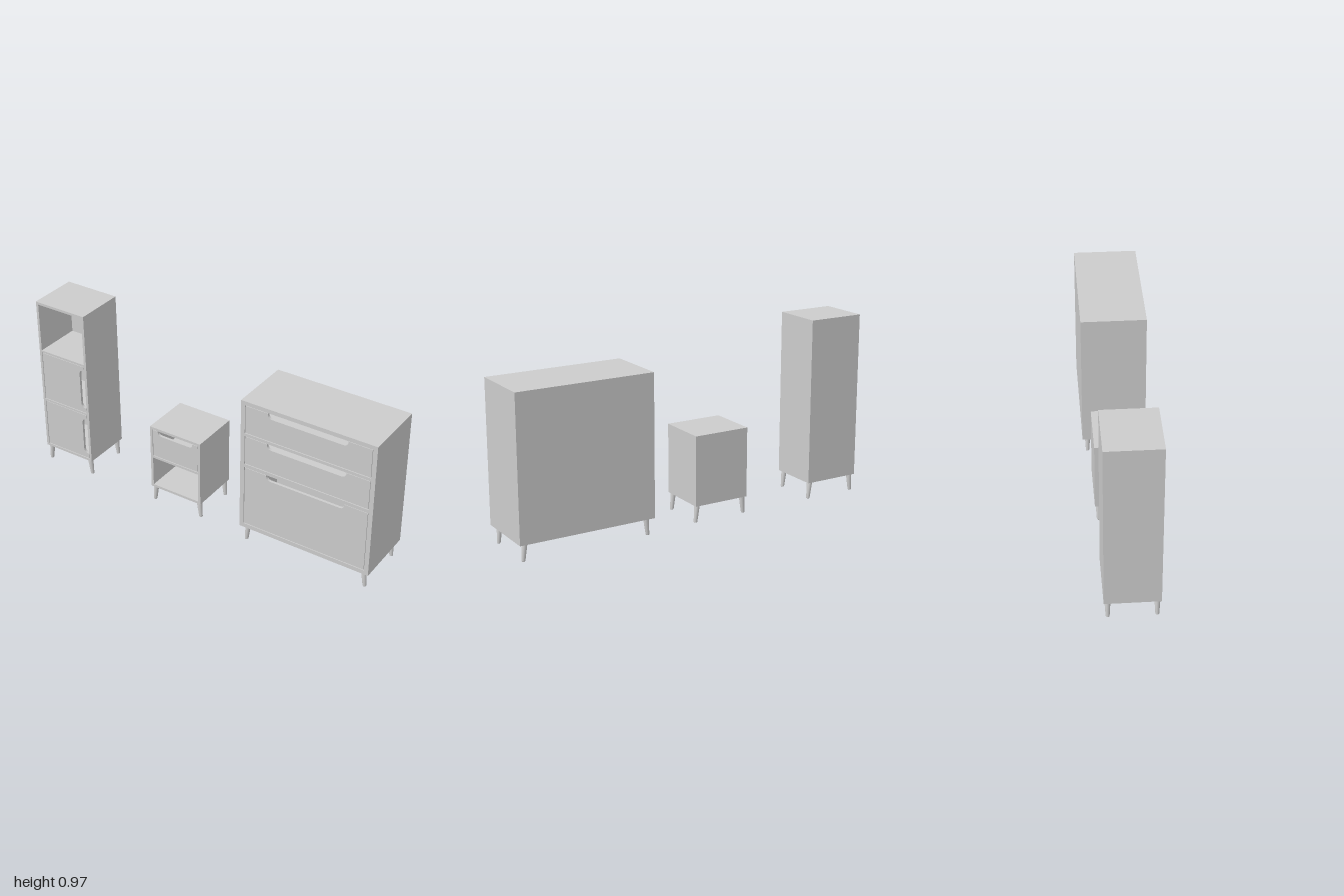
import * as THREE from 'three';

const material = new THREE.MeshStandardMaterial({ color: 0xcccccc });
const BOTTOM = 0.09, GAP = 0.003, BACK = 0.014, FRONT = 0.014;

function addMesh(group, name, geometry) {
  const mesh = new THREE.Mesh(geometry, material);
  mesh.name = name;
  group.add(mesh);
  return mesh;
}

function rectangle(Type, x0, x1, y0, y1) {
  const path = new Type();
  path.moveTo(x0, y0);
  path.lineTo(x1, y0);
  path.lineTo(x1, y1);
  path.lineTo(x0, y1);
  path.closePath();
  return path;
}

const extrude = (shape, depth) =>
  new THREE.ExtrudeGeometry(shape, { depth, bevelEnabled: false, curveSegments: 8 });

// Front panel with a rounded finger notch in its top edge or its +x edge
function frontPanel([x0, x1, y0, y1], { edge, from, to, depth }) {
  const shape = new THREE.Shape();
  const r = depth * 0.95;
  // a runs along the notched edge, b runs inward from it
  const at = edge === 'top' ? (a, b) => [a, y1 - b] : (a, b) => [x1 - b, a];
  const [start, end, across] = edge === 'top' ? [x0, x1, y1 - y0] : [y0, y1, x1 - x0];
  shape.moveTo(...at(start, across));
  shape.lineTo(...at(start, 0));
  shape.lineTo(...at(from, 0));
  shape.quadraticCurveTo(...at(from, depth), ...at(from + r, depth));
  shape.lineTo(...at(to - r, depth));
  shape.quadraticCurveTo(...at(to, depth), ...at(to, 0));
  shape.lineTo(...at(end, 0));
  shape.lineTo(...at(end, across));
  shape.closePath();
  return extrude(shape, FRONT);
}

// Tapered round leg, sheared outwards towards the foot
function legGeometry(height, splay) {
  const profile = [[0, 0], [0.0075, 0], [0.0095, 0.003], [0.0145, height], [0, height]]
    .map(([x, y]) => new THREE.Vector2(x, y));
  const geometry = new THREE.LatheGeometry(profile, 20);
  const p = geometry.attributes.position;
  for (let i = 0; i < p.count; i++) {
    p.setX(i, p.getX(i) + splay * (1 - p.getY(i) / height));
  }
  geometry.computeVertexNormals();
  return geometry;
}

function cabinet({ name, x0, x1, top, halfDepth, wall, legInset, legZ, bays }) {
  const group = new THREE.Group();
  group.name = name;

  // Carcass: outer frame and dividers in one piece, with a back board
  const frame = rectangle(THREE.Shape, x0, x1, BOTTOM, top);
  for (const { y } of bays) {
    frame.holes.push(rectangle(THREE.Path, x0 + wall, x1 - wall, y[0], y[1]));
  }
  addMesh(group, 'carcass', extrude(frame, 2 * halfDepth - BACK)).position.z = BACK - halfDepth;
  addMesh(group, 'backBoard', extrude(rectangle(THREE.Shape, x0, x1, BOTTOM, top), BACK))
    .position.z = -halfDepth;

  // Doors and drawer fronts, flush with the frame; bays without a notch stay open
  for (const { part, y, notch } of bays) {
    if (!notch) continue;
    const bounds = [x0 + wall + GAP, x1 - wall - GAP, y[0] + GAP, y[1] - GAP];
    addMesh(group, part, frontPanel(bounds, notch)).position.z = halfDepth - FRONT - 0.001;
  }

  // Four legs
  for (const side of [-1, 1]) {
    for (const z of [-legZ, legZ]) {
      const leg = addMesh(group, 'leg', legGeometry(BOTTOM + 0.002, side * 0.009));
      leg.position.set(side < 0 ? x0 + legInset : x1 - legInset, 0, z);
    }
  }
  return group;
}

export function createModel() {
  const model = new THREE.Group();
  model.name = 'bedroomCabinets';
  const doorNotch = (from, to) => ({ edge: 'side', from, to, depth: 0.03 });
  const drawerNotch = (from, to, depth) => ({ edge: 'top', from, to, depth });

  model.add(cabinet({
    name: 'tallCabinet', x0: -1, x1: -0.693, top: 0.97, halfDepth: 0.135,
    wall: 0.014, legInset: 0.022, legZ: 0.116,
    bays: [
      { part: 'openNiche', y: [0.686, 0.956] },
      { part: 'upperDoor', y: [0.391, 0.674], notch: doorNotch(0.42, 0.648) },
      { part: 'lowerDoor', y: [0.104, 0.379], notch: doorNotch(0.135, 0.352) },
    ],
  }));

  model.add(cabinet({
    name: 'nightstand', x0: -0.295, x1: 0.012, top: 0.46, halfDepth: 0.135,
    wall: 0.014, legInset: 0.018, legZ: 0.116,
    bays: [
      { part: 'drawerFront', y: [0.285, 0.446], notch: drawerNotch(-0.248, -0.035, 0.024) },
      { part: 'openShelf', y: [0.104, 0.272] },
    ],
  }));

  const dresserNotch = drawerNotch(0.42, 0.85, 0.028);
  model.add(cabinet({
    name: 'dresser', x0: 0.272, x1: 1, top: 0.83, halfDepth: 0.169,
    wall: 0.023, legInset: 0.036, legZ: 0.141,
    bays: [
      { part: 'topDrawerFront', y: [0.65, 0.808], notch: dresserNotch },
      { part: 'middleDrawerFront', y: [0.472, 0.634], notch: dresserNotch },
      { part: 'bottomDrawerFront', y: [0.113, 0.453], notch: dresserNotch },
    ],
  }));
  return model;
}
